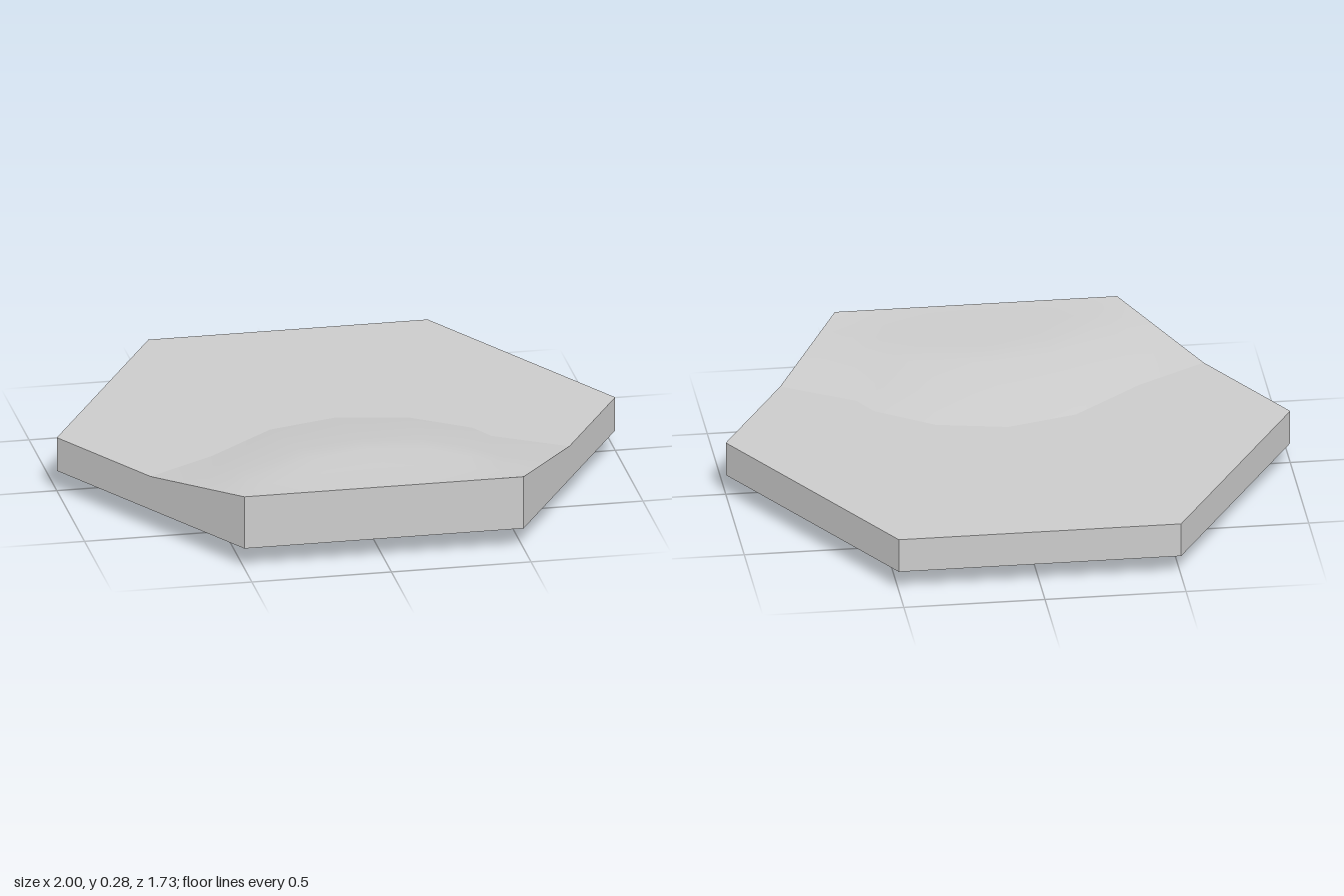
import * as THREE from 'three';

const H = Math.sqrt(3) / 2;
const TOP = 0.2, RIM = 0.075, CREST = 0.27;
const material = new THREE.MeshStandardMaterial({ color: 0xcccccc });

// Builds a mesh from triangles, turning each one to face up (1) or down (-1)
function sheet(name, points, triangles, facing) {
  const index = [];
  for (const [a, b, c] of triangles) {
    const [p, q, r] = [points[a], points[b], points[c]];
    const ny = (q[2] - p[2]) * (r[0] - p[0]) - (q[0] - p[0]) * (r[2] - p[2]);
    if (Math.abs(ny) < 1e-7) continue;
    index.push(...(ny * facing > 0 ? [a, b, c] : [a, c, b]));
  }
  const g = new THREE.BufferGeometry();
  g.setAttribute('position', new THREE.Float32BufferAttribute(points.flat(), 3));
  g.setIndex(index);
  g.computeVertexNormals();
  const mesh = new THREE.Mesh(g, material);
  mesh.name = name;
  return mesh;
}

// Flat polygon at height y
function flat(name, outline, y, facing) {
  const tris = THREE.ShapeUtils.triangulateShape(outline.map(([x, z]) => new THREE.Vector2(x, z)), []);
  return sheet(name, outline.map(([x, z]) => [x, y, z]), tris, facing);
}

// Surface through rows of equal length
function loft(name, rows, facing) {
  const n = rows[0].length, tris = [];
  for (let r = 0; r < rows.length - 1; r++) {
    for (let i = 0; i < n - 1; i++) {
      const a = r * n + i, b = a + n;
      tris.push([a, a + 1, b], [a + 1, b + 1, b]);
    }
  }
  return sheet(name, rows.flat(), tris, facing);
}

export function createModel() {
  const group = new THREE.Group();
  group.name = 'hexTile';

  // Foot of the hill, from the right edge to the left edge
  const foot = [[-0.75, H / 2], [-0.5, 0.28], [-0.25, 0.07], [0, 0], [0.25, 0.05], [0.45, 0.19], [0.5, 0.28], [0.75, H / 2]];
  group.add(flat('flatTop', [...foot, [1, 0], [0.5, -H], [-0.5, -H], [-1, 0]], TOP, 1));

  // Hill rising to a crest, dipping slightly, then meeting the front edge
  const edge = (s, t) => [s * (0.75 - 0.25 * t), TOP + (CREST - TOP) * t, H / 2 * (1 + t)];
  const row = (t, inner) => [edge(-1, t), ...inner, edge(1, t)];
  group.add(loft('hill', [
    foot.map(([x, z]) => [x, TOP, z]),
    row(0.3, [[-0.48, 0.225, 0.4], [-0.24, 0.235, 0.24], [0, 0.236, 0.2], [0.23, 0.235, 0.22], [0.4, 0.228, 0.33], [0.48, 0.222, 0.42]]),
    row(0.55, [[-0.47, 0.25, 0.57], [-0.22, 0.265, 0.44], [0, 0.266, 0.4], [0.22, 0.264, 0.42], [0.37, 0.255, 0.5], [0.47, 0.245, 0.58]]),
    row(0.75, [[-0.44, 0.262, 0.68], [-0.2, 0.273, 0.55], [0, 0.275, 0.51], [0.22, 0.275, 0.55], [0.36, 0.268, 0.63], [0.46, 0.26, 0.7]]),
    row(0.88, [[-0.38, 0.266, 0.75], [-0.18, 0.267, 0.68], [0, 0.266, 0.65], [0.2, 0.267, 0.69], [0.34, 0.265, 0.74], [0.44, 0.265, 0.78]]),
    row(1, [[-0.33, CREST, H], [-0.17, CREST, H], [0, CREST, H], [0.17, CREST, H], [0.32, CREST, H], [0.42, CREST, H]]),
  ], 1));

  // Side walls follow the rising front edges
  const rim = [[1, TOP, 0], [0.75, TOP, H / 2], [0.5, CREST, H], [-0.5, CREST, H],
    [-0.75, TOP, H / 2], [-1, TOP, 0], [-0.5, TOP, -H], [0.5, TOP, -H]];
  const wall = [];
  rim.forEach((a, i) => {
    const b = rim[(i + 1) % rim.length];
    const a0 = [a[0], RIM, a[2]], b0 = [b[0], RIM, b[2]];
    wall.push(...a0, ...a, ...b0, ...a, ...b, ...b0);
  });
  const wallGeometry = new THREE.BufferGeometry();
  wallGeometry.setAttribute('position', new THREE.Float32BufferAttribute(wall, 3));
  wallGeometry.computeVertexNormals();
  const walls = new THREE.Mesh(wallGeometry, material);
  walls.name = 'sideWalls';
  group.add(walls);

  // Underside: a flat border around an off-centre bulge with a triangular base
  const skirt = [[-1, 0], [-0.5, H], [0.12, 0.68], [0.46, 0.29], [0.5, 0], [0.33, -0.32], [-0.05, -0.54], [-0.49, -0.3]];
  const c = [0, 0], r = [-0.5, 0], f = [-0.25, H / 2];
  const base = [r, f, f, c, c, c, c, r];
  const ring = (pts, y) => [...pts, pts[0]].map(([x, z]) => [x, y, z]);
  group.add(loft('undersideBulge', [ring(skirt, RIM), ring(base, 0)], -1));
  group.add(flat('undersideBase', [r, f, c], 0, -1));
  group.add(flat('undersideFront', [...skirt.slice(1, 5), [1, 0], [0.5, H]], RIM, -1));
  group.add(flat('undersideBack', [...skirt.slice(4), [-1, 0], [-0.5, -H], [0.5, -H], [1, 0]], RIM, -1));
  return group;
}
